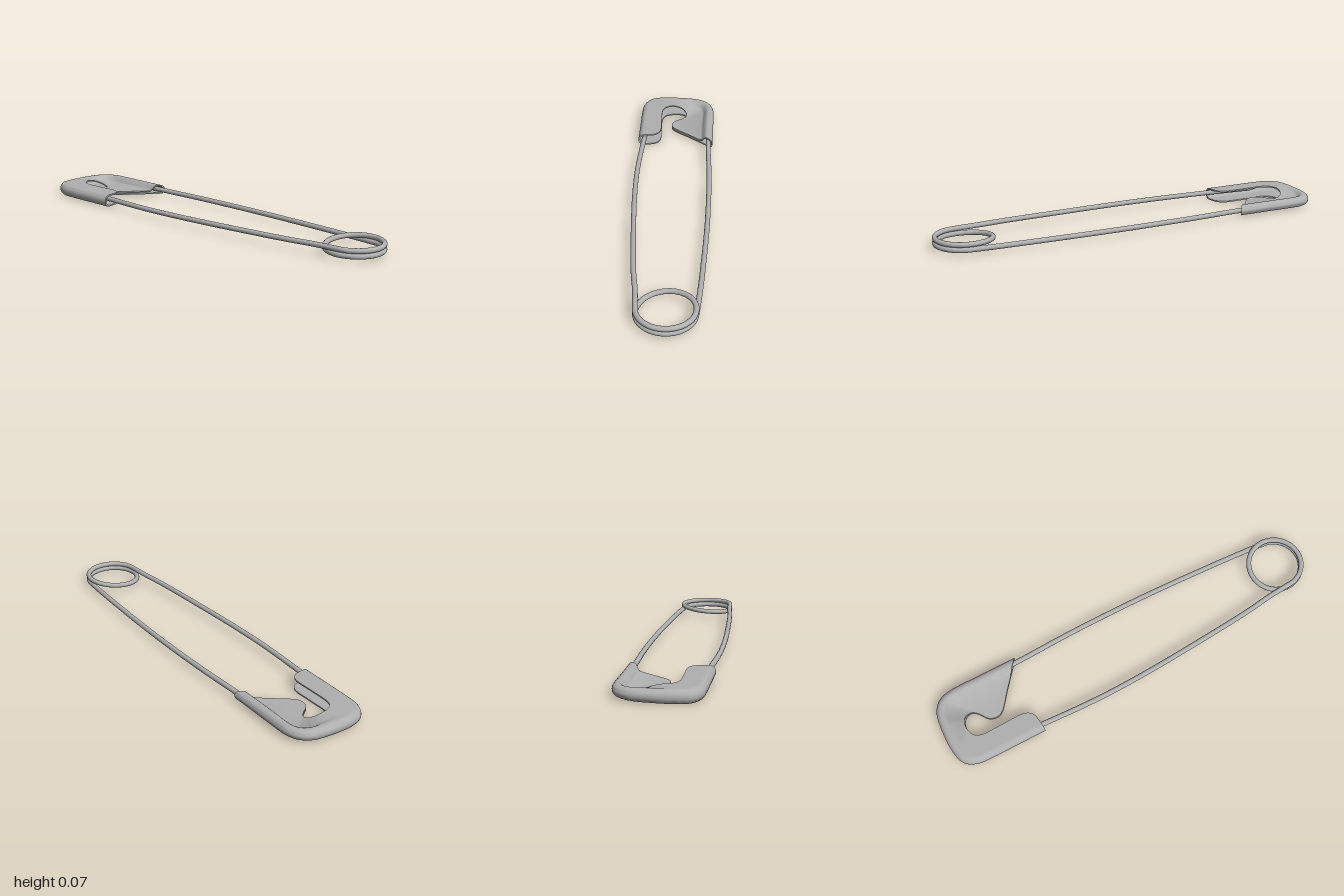
import * as THREE from 'three';
import { toCreasedNormals } from 'three/addons/utils/BufferGeometryUtils.js';

const WIRE = 0.0125; // wire radius
const SHEET = 0.007; // clasp sheet thickness
const V = (x, y, z) => new THREE.Vector3(x, y, z);
const { lerp, smoothstep } = THREE.MathUtils;

// One bent wire: pin arm, coil of one and a half turns, fixed arm
function wireCurve() {
  const pts = [
    V(-0.8, 0.042, 0.15), V(-0.56, 0.043, 0.168), V(-0.25, 0.044, 0.181), V(0, 0.046, 0.176),
    V(0.3, 0.049, 0.158), V(0.6, 0.053, 0.134), V(0.74, 0.055, 0.116),
  ];
  const steps = 36;
  for (let i = 0; i <= steps; i++) {
    const a = (i / steps) * Math.PI * 3;
    const y = 0.0555 - 0.025 * smoothstep(a, Math.PI, Math.PI * 2);
    pts.push(V(0.855 + 0.132 * Math.sin(a), y, -0.025 + 0.132 * Math.cos(a)));
  }
  pts.push(
    V(0.72, 0.031, -0.167), V(0.5, 0.032, -0.178), V(0.25, 0.033, -0.187), V(0, 0.034, -0.19),
    V(-0.25, 0.035, -0.187), V(-0.54, 0.036, -0.176), V(-0.88, 0.036, -0.174),
  );
  return new THREE.CatmullRomCurve3(pts);
}

// Half-sections of the clasp: heights at distance d from its outer edge;
// g blends from the open front channel (0) to the back rim with flat guard (1)
function heights(d, g) {
  const r = 0.026;
  const round = d < r ? Math.sqrt(1 - (1 - d / r) ** 2) : 1;
  const mid = lerp(0.034, 0.036, g);
  const drop = 0.031 * g * smoothstep(d, 0.036, 0.066);
  return {
    top: mid + lerp(0.031, 0.025, g) * round - drop,
    bottom: mid - lerp(0.031, 0.025, g) * round,
  };
}

// Folded sheet clasp, lofted along matching outer and inner edges
function claspGeometry() {
  // outer x, outer z, inner x, inner z
  const stations = [
    [-0.56, 0.2, -0.565, 0.155], [-0.58, 0.2, -0.576, 0.11], [-0.62, 0.2, -0.61, 0.085],
    [-0.73, 0.2, -0.72, 0.083], [-0.84, 0.2, -0.835, 0.083], [-0.92, 0.193, -0.868, 0.07],
    [-0.975, 0.16, -0.885, 0.045], [-0.999, 0.09, -0.89, 0.02], [-0.999, -0.06, -0.885, -0.02],
    [-0.984, -0.13, -0.865, -0.043], [-0.95, -0.174, -0.835, -0.048], [-0.9, -0.195, -0.81, -0.03],
    [-0.84, -0.2, -0.775, 0.015], [-0.75, -0.2, -0.745, 0.027], [-0.7, -0.2, -0.71, 0.02],
    [-0.62, -0.2, -0.63, -0.075], [-0.56, -0.2, -0.565, -0.155], [-0.53, -0.2, -0.537, -0.188],
  ];
  const outer = new THREE.CatmullRomCurve3(stations.map((s) => V(s[0], 0, s[1])));
  const inner = new THREE.CatmullRomCurve3(stations.map((s) => V(s[2], 0, s[3])));
  const across = [0, 0.001, 0.004, 0.009, 0.016, 0.026, 0.036, 0.043, 0.05, 0.058, 0.066, 1];
  const n = across.length;
  const half = 2 * n - 1; // points on one skin
  const ring = half * 2;
  const rows = (stations.length - 1) * 5;
  const pos = [], idx = [];

  for (let s = 0; s <= rows; s++) {
    const t = s / rows;
    const o = outer.getPoint(t), dir = inner.getPoint(t).sub(o);
    const width = dir.length();
    dir.normalize();
    const g = smoothstep(t * (stations.length - 1), 6.5, 10.5);
    const outside = [], inside = [];
    for (let k = 0; k < half; k++) {
      const j = Math.abs(n - 1 - k);
      const d = Math.min(across[j], width);
      const h = heights(d, g);
      const mid = (h.top + h.bottom) / 2;
      const side = k < n ? 1 : -1;
      const hh = (h.top - h.bottom) / 2;
      const inset = Math.min(SHEET, width * 0.4);
      const p = o.clone().addScaledVector(dir, d);
      const q = o.clone().addScaledVector(dir, inset + d * (1 - inset / width));
      outside.push([p.x, mid + side * hh, p.z]);
      inside.push([q.x, mid + side * (j === 0 ? 0 : Math.max(0.0005, hh - SHEET)), q.z]);
    }
    for (const p of [...outside, ...inside.reverse()]) pos.push(...p);
  }

  // skins and the lips joining them
  for (let s = 0; s < rows; s++) {
    for (let i = 0; i < ring; i++) {
      const j = (i + 1) % ring;
      const a = s * ring + i, b = s * ring + j, c = a + ring, d = b + ring;
      idx.push(a, c, b, b, c, d);
    }
  }
  // sheet edges at both ends
  for (let k = 0; k < half - 1; k++) {
    const a = k, b = k + 1, d = ring - 1 - k, e = d - 1, m = rows * ring;
    idx.push(a, b, d, b, e, d);
    idx.push(m + a, m + d, m + b, m + b, m + d, m + e);
  }
  const geo = new THREE.BufferGeometry();
  geo.setAttribute('position', new THREE.Float32BufferAttribute(pos, 3));
  geo.setIndex(idx);
  return toCreasedNormals(geo, 0.7);
}

export function createModel() {
  const steel = new THREE.MeshStandardMaterial({ color: 0xb0b0b0, side: THREE.DoubleSide });
  steel.name = 'steel';
  const group = new THREE.Group();
  group.name = 'safetyPin';
  const add = (name, geometry) => {
    const mesh = new THREE.Mesh(geometry, steel);
    mesh.name = name;
    group.add(mesh);
    return mesh;
  };

  const curve = wireCurve();
  add('wire', new THREE.TubeGeometry(curve, 420, WIRE, 14, false));

  // sharpened point inside the clasp
  const point = add('pinPoint', new THREE.ConeGeometry(WIRE, 0.06, 14));
  const back = curve.getTangent(0).negate();
  point.position.copy(curve.getPoint(0)).addScaledVector(back, 0.03);
  point.quaternion.setFromUnitVectors(V(0, 1, 0), back);

  // end of the fixed arm, hidden in the rim
  add('wireEnd', new THREE.SphereGeometry(WIRE, 14, 10)).position.copy(curve.getPoint(1));

  add('clasp', claspGeometry());
  return group;
}
